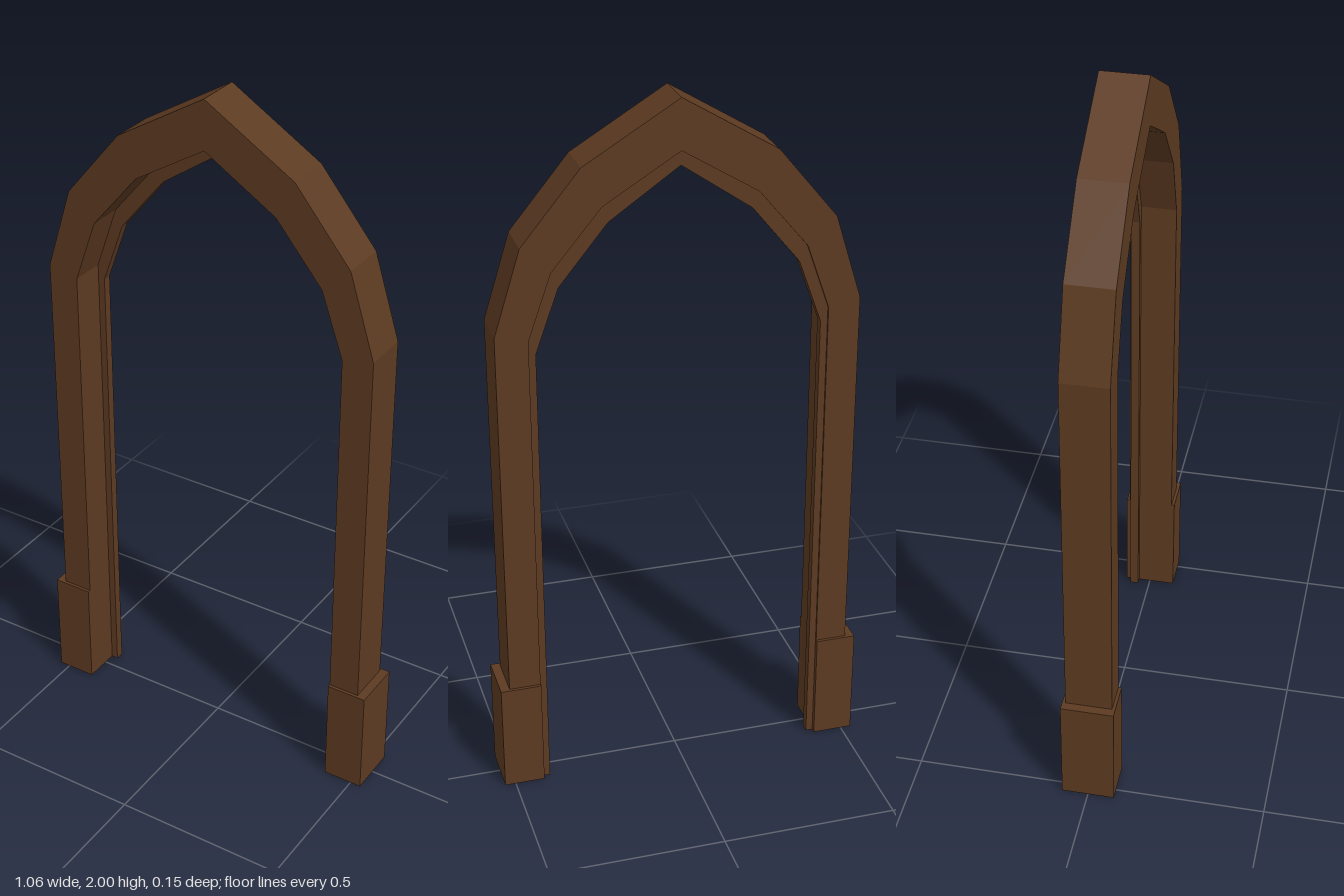
import * as THREE from 'three';

// Half profiles from the floor to the apex, on the +x side
const OUTER = [[0.505, 0], [0.505, 1.4], [0.43, 1.64], [0.265, 1.84], [0, 2]];
const INNER = [[0.415, 0], [0.415, 1.38], [0.35, 1.565], [0.212, 1.73], [0, 1.86]];
const STOP = [[0.395, 0], [0.395, 1.34], [0.33, 1.52], [0.195, 1.685], [0, 1.82]];

// Mirror a half profile into a full arch running from +x to -x
const fullArch = (half) => [
  ...half,
  ...half.slice(0, -1).reverse().map(([x, y]) => [-x, y]),
];

// Solid band between two arches, from zBack to zFront
function archBand(name, outer, inner, zBack, zFront, material) {
  const points = [...fullArch(outer), ...fullArch(inner).reverse()];
  const shape = new THREE.Shape(points.map(([x, y]) => new THREE.Vector2(x, y)));
  const geometry = new THREE.ExtrudeGeometry(shape, {
    depth: zFront - zBack,
    bevelEnabled: false,
  });
  geometry.translate(0, 0, zBack);
  const mesh = new THREE.Mesh(geometry, material);
  mesh.name = name;
  return mesh;
}

export function createModel() {
  const group = new THREE.Group();
  group.name = 'archedDoorFrame';

  const wood = new THREE.MeshStandardMaterial({ color: 0x5c3a21 });
  wood.name = 'darkWood';

  // Main frame: jambs and pointed arch
  group.add(archBand('frame', OUTER, INNER, -0.066, 0.066, wood));

  // Thin door stop lining the opening near the back
  group.add(archBand('doorStop', INNER, STOP, -0.06, -0.035, wood));

  // Plinth blocks around the feet
  for (const side of [1, -1]) {
    const plinth = new THREE.Mesh(new THREE.BoxGeometry(0.116, 0.32, 0.15), wood);
    plinth.position.set(side * 0.473, 0.16, 0);
    plinth.name = side > 0 ? 'leftPlinth' : 'rightPlinth';
    group.add(plinth);
  }

  return group;
}
